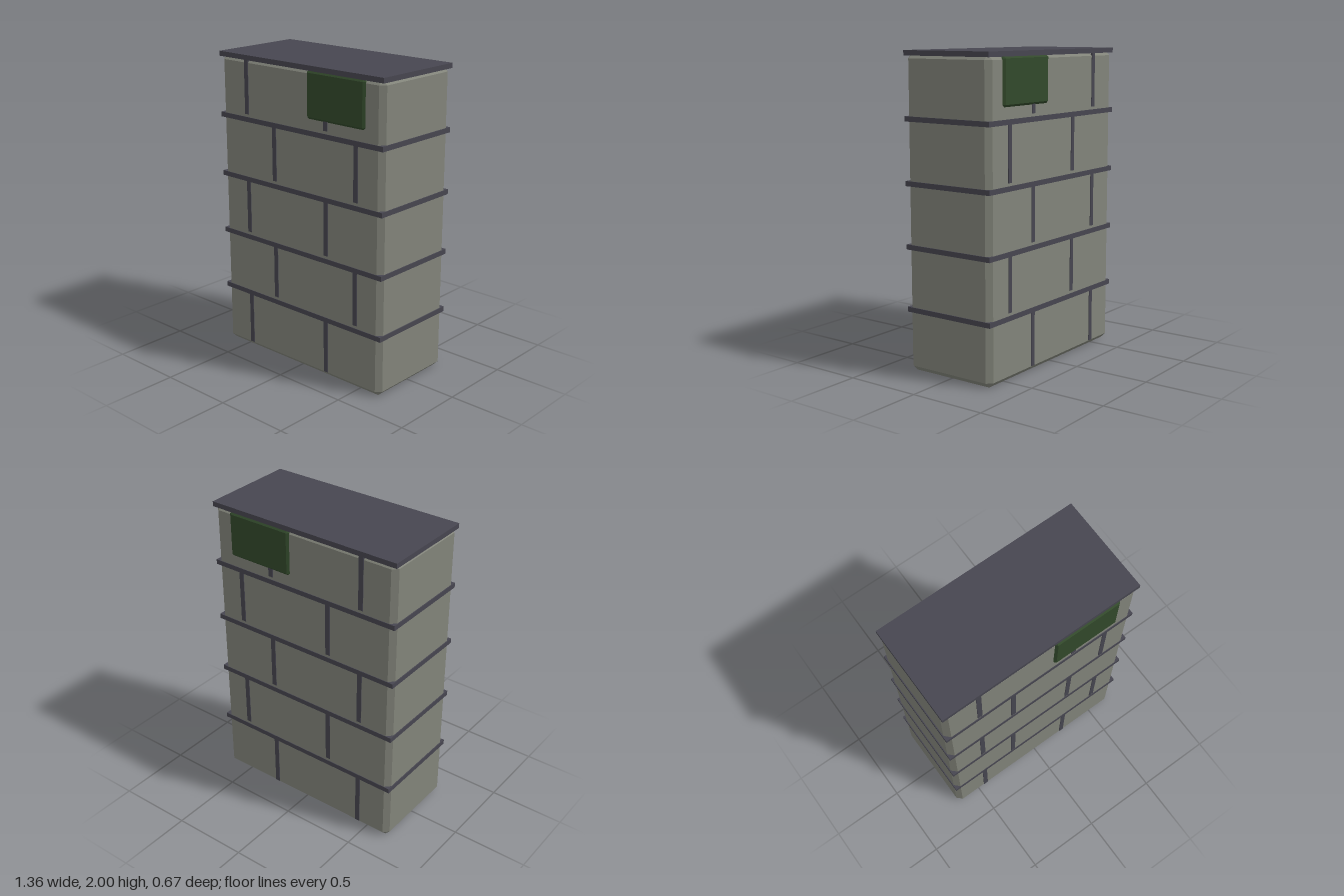
import * as THREE from 'three';
import { ConvexGeometry } from 'three/addons/geometries/ConvexGeometry.js';

const stone = new THREE.MeshStandardMaterial({ color: 0x82847a });
stone.name = 'stone grey';
const mortar = new THREE.MeshStandardMaterial({ color: 0x474650 });
mortar.name = 'mortar dark grey';
const moss = new THREE.MeshStandardMaterial({ color: 0x32492b });
moss.name = 'moss green';

// Box with flat chamfers on every edge
function chamferedBox(w, h, d, c) {
  const points = [];
  for (const sx of [-1, 1]) for (const sy of [-1, 1]) for (const sz of [-1, 1]) {
    const x = w / 2, y = h / 2, z = d / 2;
    points.push(
      new THREE.Vector3(sx * x, sy * (y - c), sz * (z - c)),
      new THREE.Vector3(sx * (x - c), sy * y, sz * (z - c)),
      new THREE.Vector3(sx * (x - c), sy * (y - c), sz * z)
    );
  }
  return new ConvexGeometry(points);
}

export function createModel() {
  const group = new THREE.Group();
  const add = (name, geometry, material, x, y, z) => {
    const mesh = new THREE.Mesh(geometry, material);
    mesh.name = name;
    mesh.position.set(x, y, z);
    group.add(mesh);
  };

  const rows = 5, rowHeight = 0.397, bed = 0.032;

  // Stone core
  const height = rows * rowHeight;
  add('stoneBody', chamferedBox(1.35, height, 0.638, 0.033), stone, 0, height / 2, 0);

  // Horizontal mortar beds, the last one capping the wall
  const bedGeometry = new THREE.BoxGeometry(1.362, bed, 0.646);
  // Upright joints, staggered from row to row, on both faces
  const jointGeometry = new THREE.BoxGeometry(0.033, 0.35, 0.012);
  for (let row = 0; row < rows; row++) {
    add(row === rows - 1 ? 'capSlab' : 'mortarBed', bedGeometry, mortar, 0, (row + 1) * rowHeight, 0);
    for (const x of row % 2 ? [-0.2, 0.475] : [-0.44, 0.235]) {
      for (const side of [1, -1]) {
        add('mortarJoint', jointGeometry, mortar, x, row * rowHeight + 0.21, side * 0.317);
      }
    }
  }

  // Moss patch showing through on both faces
  add('mossPatch', chamferedBox(0.46, 0.296, 0.666, 0.014), moss, 0.315, 1.825, 0);

  return group;
}
